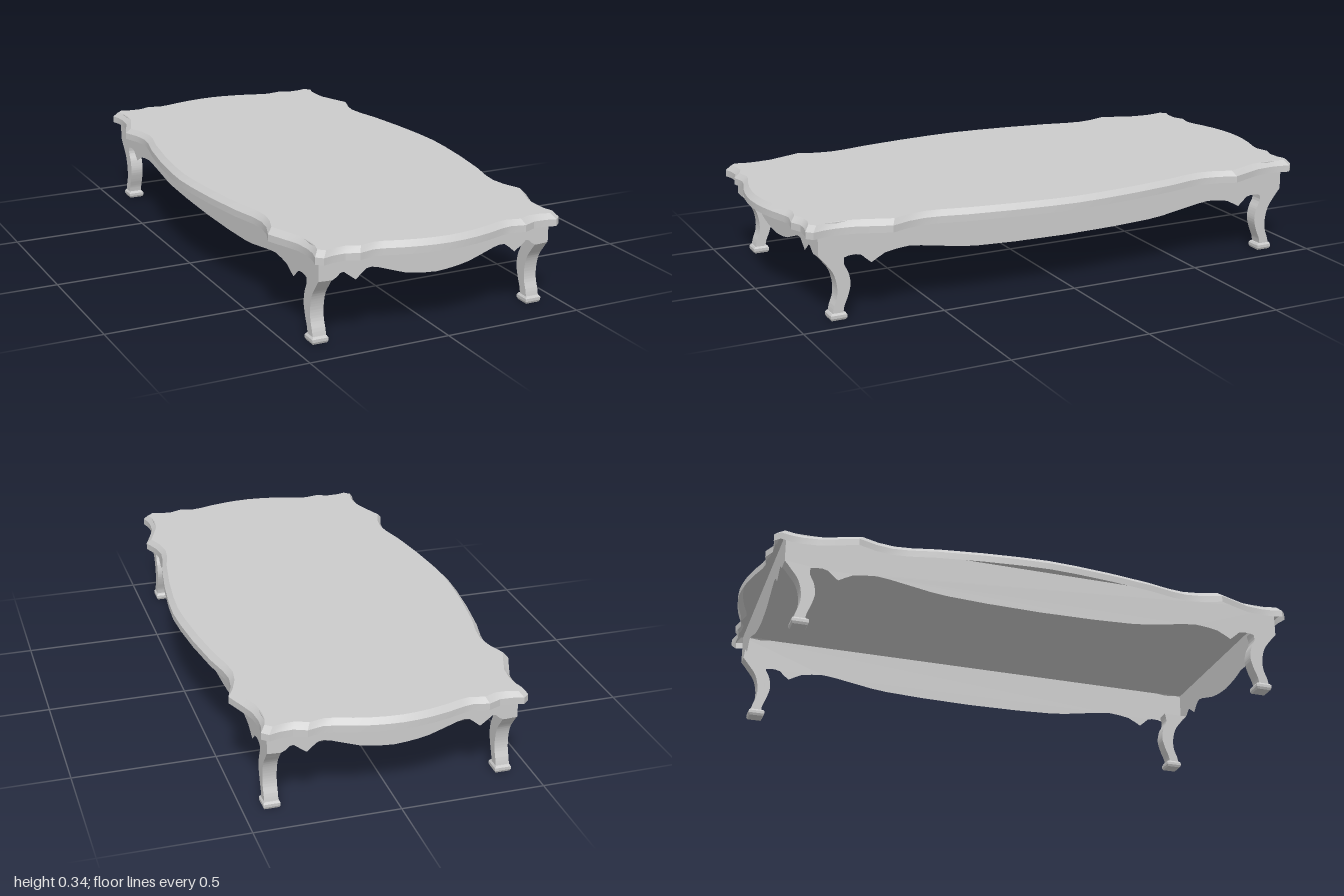
import * as THREE from 'three';
import { toCreasedNormals } from 'three/addons/utils/BufferGeometryUtils.js';

const material = new THREE.MeshStandardMaterial({ color: 0xcccccc });
const sheet = new THREE.MeshStandardMaterial({ color: 0xcccccc, side: THREE.DoubleSide });
const V = (p) => p.map(([x, y]) => new THREE.Vector2(x, y));

function part(name, geometry, mat = material, crease = 0.5) {
  const mesh = new THREE.Mesh(toCreasedNormals(geometry, crease), mat);
  mesh.name = name;
  return mesh;
}

// Scalloped top, open underneath: one quarter of the outline, mirrored, with a chamfered rim
function tabletop() {
  const q = [
    [0.53, 0], [0.525, 0.1], [0.511, 0.24], [0.487, 0.4], [0.466, 0.49], [0.459, 0.55],
    [0.468, 0.61], [0.492, 0.675], [0.467, 0.74], [0.445, 0.8], [0.439, 0.86], [0.442, 0.9],
    [0.452, 0.937], [0.43, 0.957], [0.395, 0.947], [0.35, 0.945], [0.307, 0.963], [0.255, 0.951],
    [0.22, 0.957], [0.16, 0.976], [0.1, 0.99], [0.05, 0.997], [0, 1],
  ];
  const back = q.slice().reverse();
  const outline = [
    ...q,
    ...back.slice(1).map(([x, z]) => [-x, z]),
    ...q.slice(1).map(([x, z]) => [-x, -z]),
    ...back.slice(1, -1).map(([x, z]) => [x, -z]),
  ];
  const inner = outline.map(([x, z]) => [x * 0.965, z * 0.983]);
  const n = outline.length;

  // Rim rings: bottom edge, start of chamfer, top edge
  const positions = [];
  const index = [];
  [[outline, 0.297], [outline, 0.321], [inner, 0.34]].forEach(([ring, y], r) => {
    ring.forEach(([x, z], i) => {
      positions.push(x, y, z);
      if (r === 2) return;
      const a = r * n + i;
      const b = r * n + (i + 1) % n;
      index.push(a, a + n, b, b, a + n, b + n);
    });
  });
  const rim = new THREE.BufferGeometry();
  rim.setAttribute('position', new THREE.Float32BufferAttribute(positions, 3));
  rim.setIndex(index);

  const surface = new THREE.ShapeGeometry(new THREE.Shape(V(inner)));
  surface.rotateX(-Math.PI / 2).translate(0, 0.34, 0);

  const group = new THREE.Group();
  group.name = 'tabletop';
  group.add(part('tabletopRim', rim, sheet, 0.4), part('tabletopSurface', surface, sheet));
  return group;
}

// Single-sheet panel with a shaped lower edge; half profile runs from the end to the middle
function apron(name, half) {
  const end = half[0][0];
  const inward = half.map(([x, y]) => [-x, y]);
  const outward = half.slice(0, -1).reverse();
  const shape = new THREE.Shape(V([[end, 0.339], [-end, 0.339], ...inward, ...outward]));
  return part(name, new THREE.ShapeGeometry(shape), sheet);
}

// Curved leg, bowed along z only, on a small square foot
function leg(name) {
  const group = new THREE.Group();
  group.name = name;
  const shape = new THREE.Shape();
  shape.moveTo(0.915, 0.23);
  shape.splineThru(V([[0.893, 0.203], [0.866, 0.165], [0.854, 0.12], [0.855, 0.08], [0.867, 0.045], [0.873, 0.018]]));
  shape.lineTo(0.835, 0.018);
  shape.splineThru(V([[0.83, 0.045], [0.816, 0.08], [0.806, 0.12], [0.812, 0.16], [0.827, 0.195], [0.822, 0.23]]));
  const width = 0.048;
  const geo = new THREE.ExtrudeGeometry(shape, { depth: width, bevelEnabled: false, curveSegments: 12 });
  geo.rotateY(-Math.PI / 2).translate(width / 2, 0, 0);
  group.add(part('legShaft', geo));

  const profile = V([[0, 0], [0.025, 0], [0.029, 0.008], [0.029, 0.018], [0.024, 0.025], [0, 0.025]]
    .map(([r, y]) => [r * Math.SQRT2, y]));
  const foot = part('foot', new THREE.LatheGeometry(profile, 4, Math.PI / 4), material, 0.2);
  foot.position.z = 0.851;
  group.add(foot);
  return group;
}

export function createModel() {
  const model = new THREE.Group();
  model.name = 'coffeeTable';
  model.add(tabletop());

  const endProfile = [
    [0.428, 0.228], [0.38, 0.226], [0.365, 0.234], [0.352, 0.246], [0.34, 0.248], [0.325, 0.236], [0.297, 0.215],
    [0.275, 0.234], [0.258, 0.247], [0.24, 0.249], [0.215, 0.243], [0.164, 0.225], [0.12, 0.21],
    [0.08, 0.202], [0.04, 0.197], [0, 0.194],
  ];
  const sideProfile = [
    [0.915, 0.23], [0.828, 0.214], [0.81, 0.219], [0.785, 0.22], [0.765, 0.215], [0.75, 0.201], [0.73, 0.184],
    [0.705, 0.198], [0.68, 0.211], [0.64, 0.218], [0.595, 0.222], [0.55, 0.217], [0.46, 0.202], [0.4, 0.192],
    [0.34, 0.186], [0.2, 0.18], [0, 0.177],
  ];
  for (const s of [1, -1]) {
    const end = apron(s > 0 ? 'frontApron' : 'backApron', endProfile);
    end.position.z = s * 0.915;
    end.rotation.y = s > 0 ? 0 : Math.PI;
    const side = apron(s > 0 ? 'leftApron' : 'rightApron', sideProfile);
    side.position.x = s * 0.428;
    side.rotation.y = s * Math.PI / 2;
    model.add(end, side);

    for (const x of [0.404, -0.404]) {
      const l = leg((s > 0 ? 'front' : 'back') + (x > 0 ? 'Left' : 'Right') + 'Leg');
      l.position.x = x;
      l.rotation.y = s > 0 ? 0 : Math.PI;
      model.add(l);
    }
  }
  return model;
}
